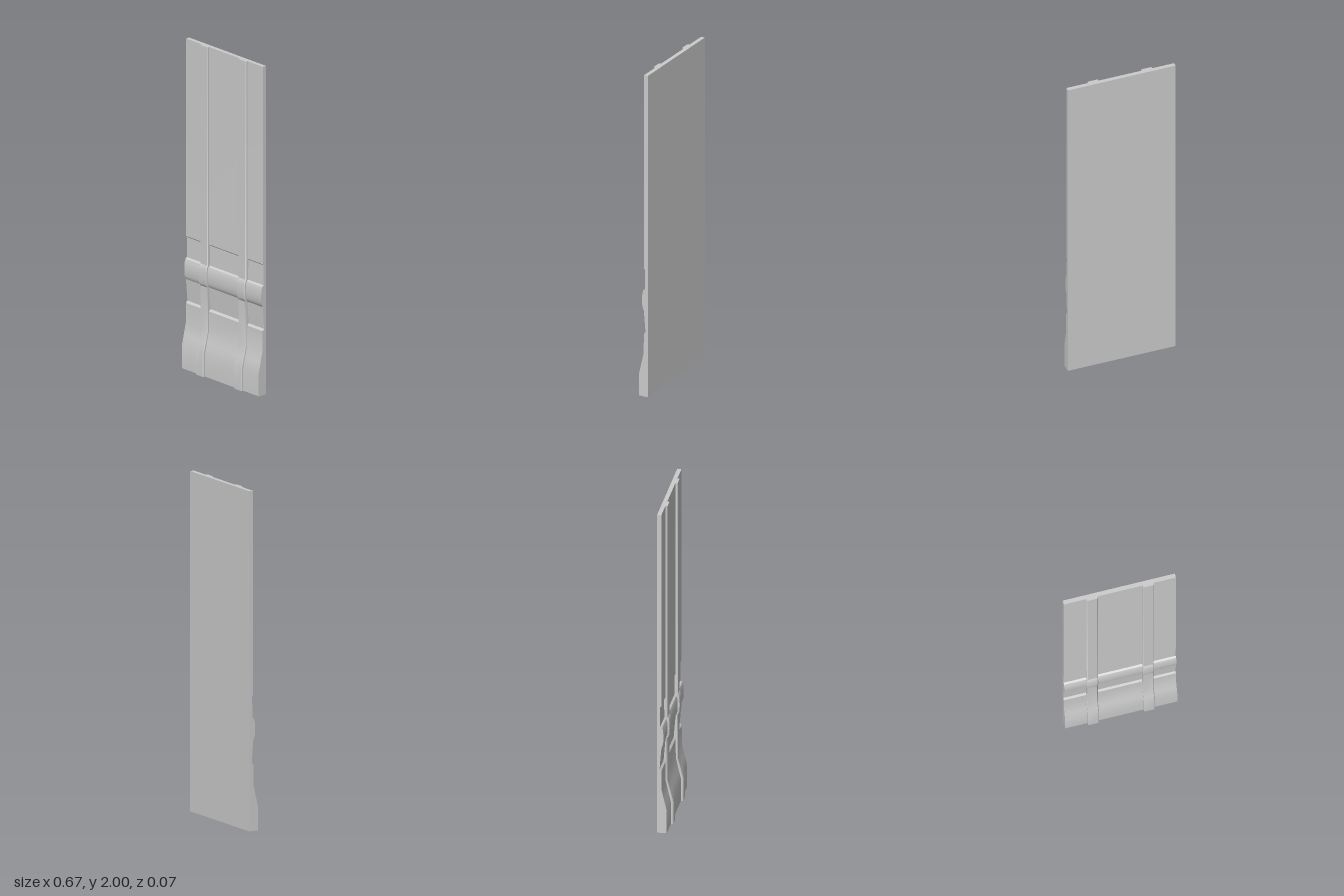
import * as THREE from 'three';
import { toCreasedNormals } from 'three/addons/utils/BufferGeometryUtils.js';

const HALF_WIDTH = 0.333;
const BACK = -0.036;

// Front profiles as [y, z], from the foot upwards
const panelProfile = [
  [0, 0.021], [0.14, 0.021], [0.2, 0.007], [0.27, -0.009], [0.39, -0.01],
  [0.402, -0.021], [0.537, -0.01], [0.542, -0.006], [0.56, 0], [0.6, 0.002],
  [0.64, 0], [0.66, -0.006], [0.668, -0.017], [0.79, -0.018], [0.797, -0.011], [2, -0.011],
];
const ribProfile = [
  [0, 0.035], [0.14, 0.035], [0.2, 0.02], [0.27, 0.002], [0.537, 0.002],
  [0.545, 0.008], [0.56, 0.012], [0.6, 0.014], [0.64, 0.012], [0.66, 0.008],
  [0.67, 0.002], [2, 0.002],
];

const material = new THREE.MeshStandardMaterial({ color: 0xcccccc });

// Backing slab: side profile pulled across the full width
function panelGeometry() {
  const shape = new THREE.Shape();
  shape.moveTo(BACK, 0);
  for (const [y, z] of panelProfile) shape.lineTo(z, y);
  shape.lineTo(BACK, 2);
  shape.closePath();
  const geometry = new THREE.ExtrudeGeometry(shape, { depth: 2 * HALF_WIDTH, bevelEnabled: false });
  geometry.rotateY(-Math.PI / 2).translate(HALF_WIDTH, 0, 0);
  return toCreasedNormals(geometry, 0.5);
}

// Rib: a strip with chamfered front edges, lofted along its profile
function ribGeometry() {
  const half = 0.033, chamfer = 0.005, root = -0.03;
  const positions = [], index = [];
  for (const [y, z] of ribProfile) {
    const section = [
      [-half, root], [-half, z - chamfer], [-half + chamfer, z],
      [half - chamfer, z], [half, z - chamfer], [half, root],
    ];
    for (const [x, sz] of section) positions.push(x, y, sz);
  }
  const n = 6, last = (ribProfile.length - 1) * n;
  for (let i = 0; i < last; i += n) {
    for (let j = 0; j < n; j++) {
      const a = i + j, b = i + (j + 1) % n;
      index.push(a, b, b + n, a, b + n, a + n);
    }
  }
  // End caps
  for (let j = 1; j < n - 1; j++) {
    index.push(0, j + 1, j, last, last + j, last + j + 1);
  }
  const geometry = new THREE.BufferGeometry();
  geometry.setAttribute('position', new THREE.Float32BufferAttribute(positions, 3));
  geometry.setIndex(index);
  return toCreasedNormals(geometry.toNonIndexed(), 0.5);
}

export function createModel() {
  const group = new THREE.Group();
  group.name = 'wallPanel';

  const panel = new THREE.Mesh(panelGeometry(), material);
  panel.name = 'panel';
  group.add(panel);

  // Pair of vertical ribs
  const geometry = ribGeometry();
  for (const side of [-1, 1]) {
    const rib = new THREE.Mesh(geometry, material);
    rib.name = side > 0 ? 'leftRib' : 'rightRib';
    rib.position.x = side * 0.166;
    group.add(rib);
  }
  return group;
}
